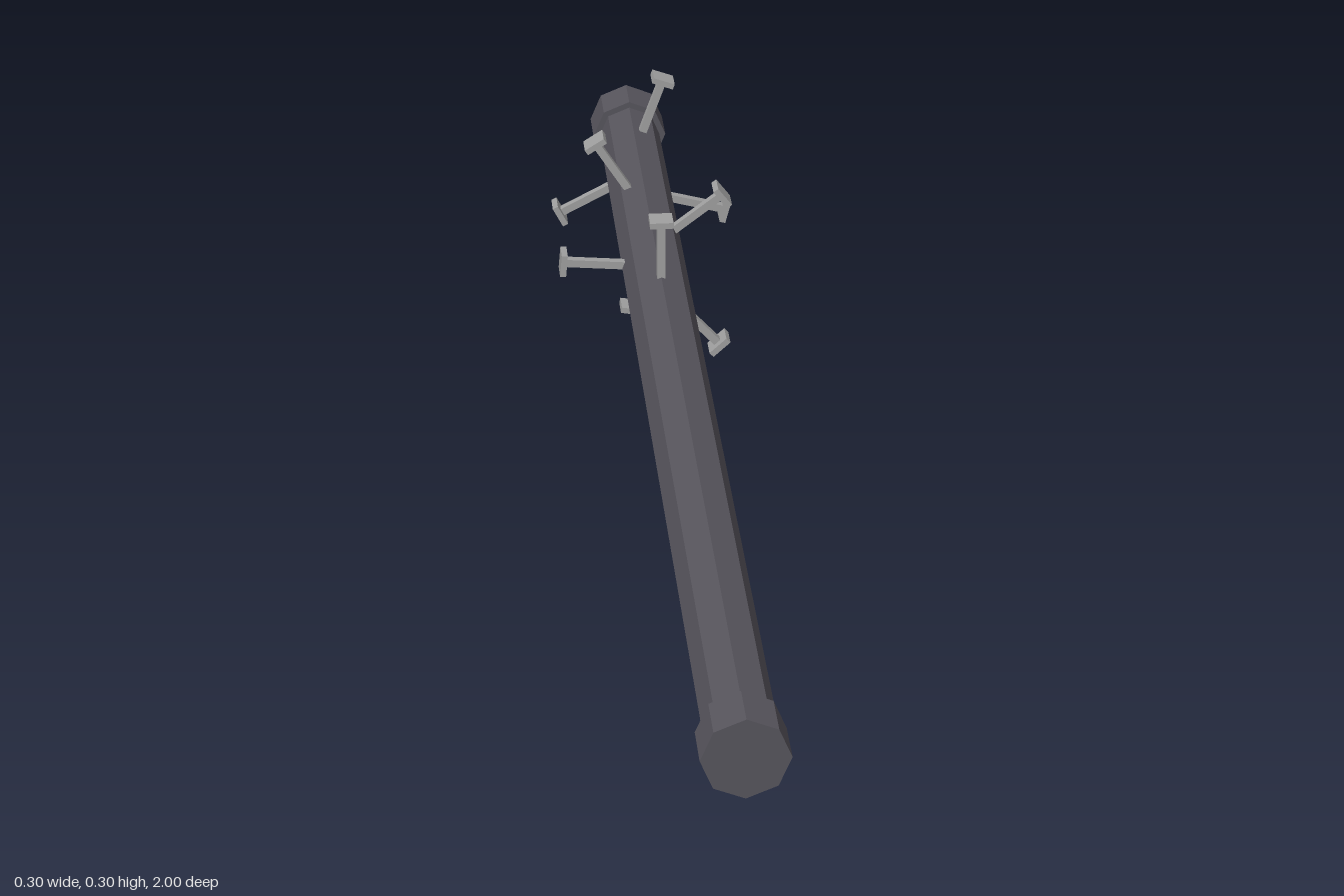
import * as THREE from 'three';

const AXIS_Y = 0.149;

export function createModel() {
  const model = new THREE.Group();
  model.name = 'spikedBar';

  const darkMetal = new THREE.MeshStandardMaterial({ color: 0x57555d });
  darkMetal.name = 'dark metal';
  darkMetal.flatShading = true;
  const nailMetal = new THREE.MeshStandardMaterial({ color: 0xa0a0a0 });
  nailMetal.name = 'nail grey';

  // Octagonal prism lying along z, with a corner pointing up
  const addPrism = (name, radius, length, z) => {
    const geometry = new THREE.CylinderGeometry(radius, radius, length, 8).rotateX(Math.PI / 2);
    const mesh = new THREE.Mesh(geometry, darkMetal);
    mesh.name = name;
    mesh.position.set(0, AXIS_Y, z);
    model.add(mesh);
  };
  addPrism('shaft', 0.05, 1.9, 0);
  addPrism('frontCap', 0.06, 0.07, 0.965);
  addPrism('backCap', 0.06, 0.07, -0.965);

  // Nails spiral towards the back, each turned by the golden angle
  const stemGeometry = new THREE.BoxGeometry(0.0125, 0.1, 0.0125).translate(0, 0.09, 0);
  const headGeometry = new THREE.BoxGeometry(0.036, 0.0095, 0.036).translate(0, 0.1427, 0);
  for (let i = 0; i < 9; i++) {
    const nail = new THREE.Group();
    nail.name = `nail${i + 1}`;
    const stem = new THREE.Mesh(stemGeometry, nailMetal);
    stem.name = 'nailStem';
    const head = new THREE.Mesh(headGeometry, nailMetal);
    head.name = 'nailHead';
    nail.add(stem, head);
    nail.position.set(0, AXIS_Y, -0.3 - i * 0.0688);
    nail.rotation.z = -THREE.MathUtils.degToRad(137.5 * i);
    model.add(nail);
  }
  return model;
}
